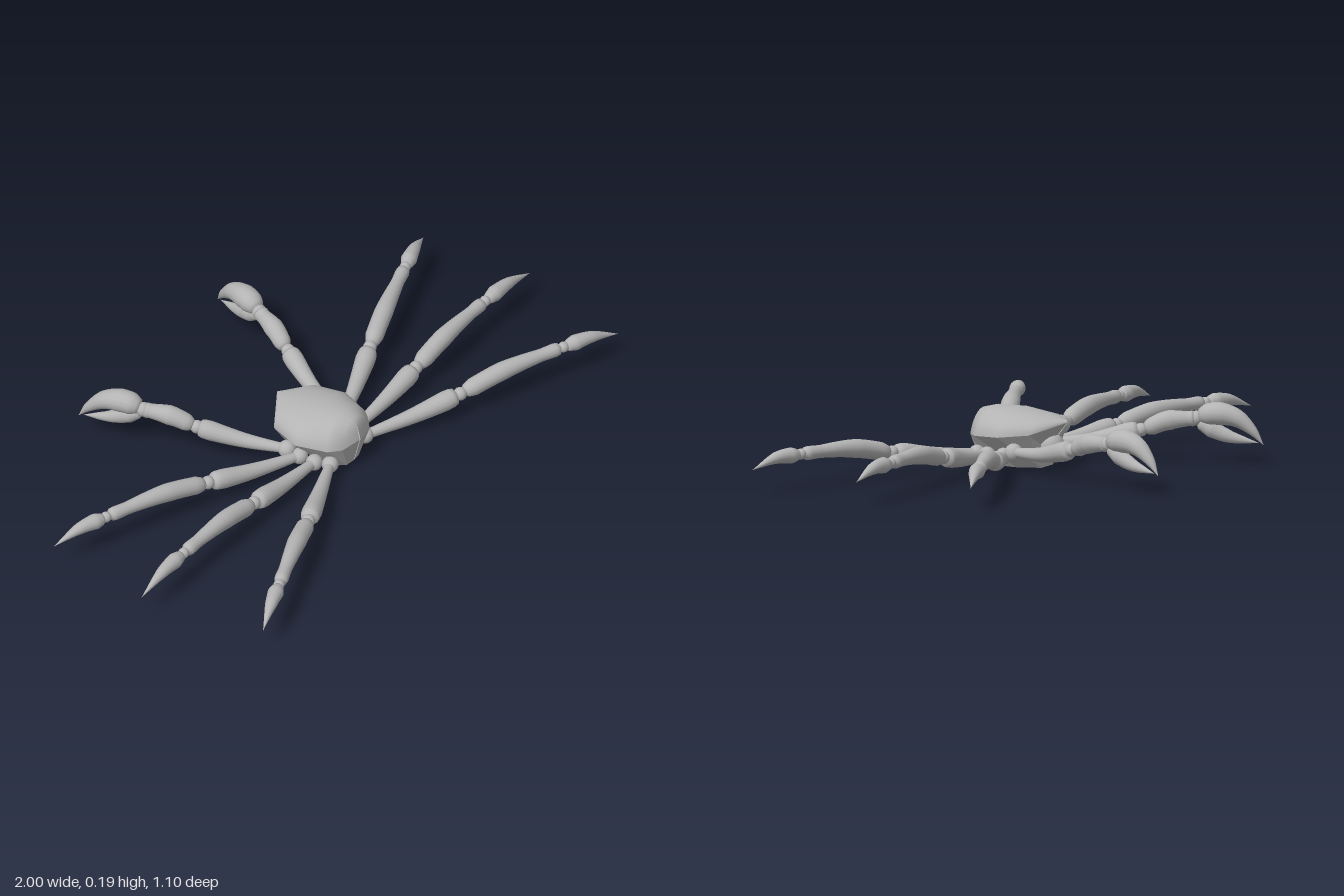
import * as THREE from 'three';
import { mergeVertices } from 'three/addons/utils/BufferGeometryUtils.js';

const shell = new THREE.MeshStandardMaterial({ color: 0xb4b4b4, side: THREE.DoubleSide });
shell.name = 'shellGrey';

function addMesh(parent, name, geometry) {
  const mesh = new THREE.Mesh(geometry, shell);
  mesh.name = name;
  parent.add(mesh);
  return mesh;
}

// Tube along a smooth path; profile is a list of [t, radius] pairs.
// flat scales the thickness along the horizontal direction across the path.
function limb(points, profile, flat = 1) {
  const curve = new THREE.CatmullRomCurve3(points.map((p) => new THREE.Vector3(...p)));
  const steps = 28, sides = 14;
  const geo = new THREE.TubeGeometry(curve, steps, 1, sides, false);
  const pos = geo.attributes.position;
  const v = new THREE.Vector3();
  const dir = points.at(-1);
  const across = new THREE.Vector3(dir[2] - points[0][2], 0, points[0][0] - dir[0]).normalize();
  for (let i = 0; i <= steps; i++) {
    const t = i / steps;
    const centre = curve.getPointAt(t);
    let k = 0;
    while (k < profile.length - 2 && t > profile[k + 1][0]) k++;
    const [t0, r0] = profile[k], [t1, r1] = profile[k + 1];
    const r = Math.max(THREE.MathUtils.lerp(r0, r1, (t - t0) / (t1 - t0)), 0.0004);
    for (let j = 0; j <= sides; j++) {
      const n = i * (sides + 1) + j;
      v.fromBufferAttribute(pos, n).sub(centre).multiplyScalar(r);
      v.addScaledVector(across, v.dot(across) * (flat - 1)).add(centre);
      pos.setXYZ(n, v.x, v.y, v.z);
    }
  }
  geo.deleteAttribute('uv');
  geo.deleteAttribute('normal');
  const welded = mergeVertices(geo, 1e-5);
  welded.computeVertexNormals();
  return welded;
}

// Surface through rows of points
function loft(rows, faceted) {
  const cols = rows[0].length, index = [];
  for (let i = 0; i < rows.length - 1; i++) {
    for (let j = 0; j < cols - 1; j++) {
      const a = i * cols + j, b = a + cols;
      index.push(a, b, a + 1, a + 1, b, b + 1);
    }
  }
  let geo = new THREE.BufferGeometry();
  geo.setAttribute('position', new THREE.Float32BufferAttribute(rows.flat(2), 3));
  geo.setIndex(index);
  if (faceted) geo = geo.toNonIndexed();
  geo.computeVertexNormals();
  return geo;
}

function ball(parent, name, p, r, scale = [1, 1, 1]) {
  const mesh = addMesh(parent, name, new THREE.SphereGeometry(r, 18, 12));
  mesh.position.set(...p);
  mesh.scale.set(...scale);
}

const mix = (a, b, t) => a.map((n, i) => n + (b[i] - n) * t);

function buildBody(group) {
  // Stations: rim [x, y, z], ridge [y, z], keel [x, y, z]
  const stations = [
    [[0.004, 0.144, -0.063], [0.150, -0.063], [0.004, 0.06, 0.005]],
    [[0.118, 0.115, 0.010], [0.167, 0.000], [0.040, 0.006, 0.006]],
    [[0.140, 0.105, 0.107], [0.184, 0.100], [0.045, 0.003, 0.090]],
    [[0.105, 0.100, 0.200], [0.185, 0.180], [0.040, 0.005, 0.190]],
    [[0.070, 0.100, 0.232], [0.175, 0.222], [0.030, 0.015, 0.220]],
    [[0.002, 0.105, 0.247], [0.150, 0.236], [0.002, 0.018, 0.225]],
  ];
  const top = stations.map(([rim, ridge]) => {
    const row = [];
    for (let j = 0; j <= 16; j++) {
      const a = Math.PI * (1 - j / 16), s = Math.sin(a);
      row.push([rim[0] * Math.cos(a), rim[1] + (ridge[0] - rim[1]) * s, rim[2] + (ridge[1] - rim[2]) * s]);
    }
    return row;
  });
  const under = stations.map(([rim, , keel]) => {
    const flip = ([x, y, z]) => [-x, y, z];
    return [rim, keel, flip(keel), flip(rim)];
  });
  addMesh(group, 'carapace', loft(top, false));
  addMesh(group, 'underside', loft(under, true));
  ball(group, 'frontBulb', [0, 0.07, -0.004], 0.044);
}

const upperArm = [[0, 0], [0.03, 0.015], [0.3, 0.02], [0.85, 0.031], [0.96, 0.029], [1, 0]];
const foreArm = [[0, 0], [0.03, 0.02], [0.1, 0.028], [0.4, 0.029], [0.8, 0.02], [0.96, 0.022], [1, 0]];
const talon = [[0, 0], [0.04, 0.018], [0.18, 0.025], [0.5, 0.018], [1, 0]];

// Walking leg through base, two joints and a curved tip
function buildLeg(group, base, j1, j2, tip) {
  ball(group, 'hip', base, 0.026);
  const bend1 = mix(base, j1, 0.55);
  bend1[1] -= 0.006;
  addMesh(group, 'upperLeg', limb([base, bend1, j1], upperArm));
  ball(group, 'knee', mix(j1, j2, 0.02), 0.021);
  const bend2 = mix(j1, j2, 0.45);
  bend2[1] += 0.014;
  addMesh(group, 'lowerLeg', limb([mix(j1, j2, 0.04), bend2, j2], foreArm));
  ball(group, 'ankle', mix(j2, tip, 0.03), 0.017);
  const bend3 = mix(j2, tip, 0.5);
  bend3[1] += 0.013;
  addMesh(group, 'footTip', limb([mix(j2, tip, 0.06), bend3, tip], talon));
}

// Arm ending in a pincer with a large upper and a smaller lower finger
function buildClaw(group, s) {
  const base = [s * 0.12, 0.06, 0.06], elbow = [s * 0.235, 0.1, -0.195], wrist = [s * 0.3, 0.137, -0.35];
  ball(group, 'shoulder', base, 0.028);
  addMesh(group, 'upperArm', limb([base, [s * 0.17, 0.068, -0.06], elbow], upperArm));
  ball(group, 'elbow', elbow, 0.021);
  addMesh(group, 'foreArm', limb([[s * 0.237, 0.1, -0.205], [s * 0.265, 0.128, -0.265], wrist],
    [[0, 0], [0.04, 0.02], [0.15, 0.027], [0.5, 0.031], [0.85, 0.023], [0.96, 0.025], [1, 0]]));
  ball(group, 'wrist', wrist, 0.023);
  const at = (y, z) => [s * (0.303 + (-0.36 - z) * 0.29), y, z];
  addMesh(group, 'upperFinger', limb(
    [at(0.142, -0.354), at(0.153, -0.41), at(0.143, -0.465), at(0.105, -0.515), at(0.06, -0.55)],
    [[0, 0], [0.03, 0.022], [0.13, 0.034], [0.3, 0.036], [0.55, 0.027], [0.8, 0.014], [1, 0]], 1.05));
  addMesh(group, 'lowerFinger', limb(
    [at(0.13, -0.354), at(0.106, -0.395), at(0.083, -0.45), at(0.066, -0.535)],
    [[0, 0], [0.05, 0.02], [0.25, 0.027], [0.5, 0.021], [0.75, 0.012], [1, 0]], 0.9));
}

export function createModel() {
  const model = new THREE.Group();
  model.name = 'crab';
  const body = new THREE.Group();
  body.name = 'body';
  model.add(body);
  buildBody(body);

  const legs = {
    frontLeg: [[0.11, 0.045, 0.10], [0.41, 0.078, -0.018], [0.765, 0.11, -0.144], [0.952, 0.08, -0.21]],
    middleLeg: [[0.11, 0.045, 0.155], [0.41, 0.078, 0.152], [0.77, 0.11, 0.15], [1.0, 0.08, 0.155]],
    backLeg: [[0.09, 0.045, 0.20], [0.385, 0.078, 0.335], [0.727, 0.11, 0.475], [0.915, 0.08, 0.55]],
  };
  for (const s of [1, -1]) {
    const side = s > 0 ? 'left' : 'right';
    for (const [name, points] of Object.entries(legs)) {
      const leg = new THREE.Group();
      leg.name = `${side} ${name}`;
      buildLeg(leg, ...points.map(([x, y, z]) => [s * x, y, z]));
      model.add(leg);
    }
    const claw = new THREE.Group();
    claw.name = `${side} claw`;
    buildClaw(claw, s);
    model.add(claw);
  }
  return model;
}
